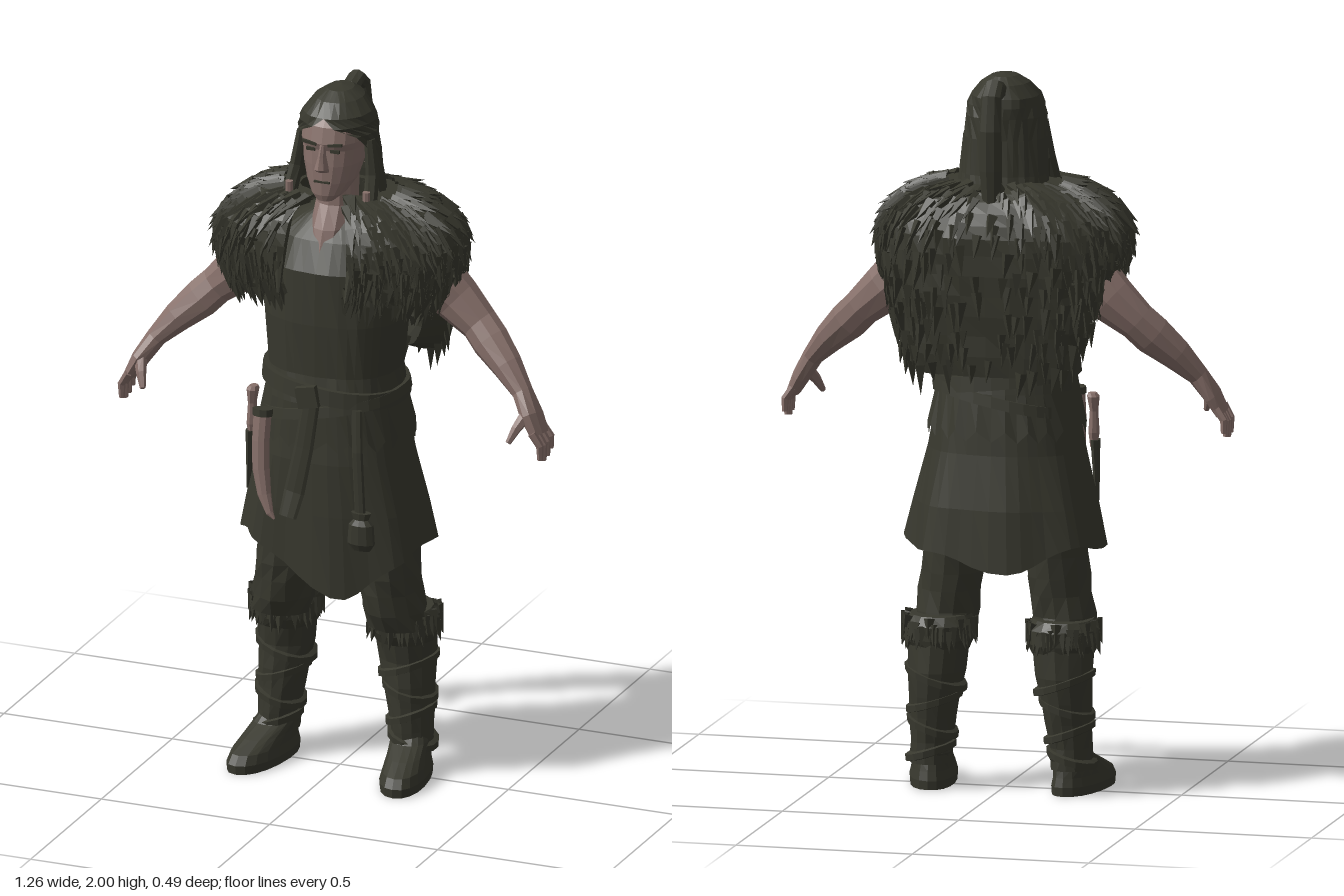
import * as THREE from 'three';
import { mergeGeometries } from 'three/addons/utils/BufferGeometryUtils.js';

const V = (x, y, z) => new THREE.Vector3(x, y, z);
const hash = (i, j) => { const s = Math.sin(i * 12.99 + j * 78.23 + 1.7) * 43758.55; return s - Math.floor(s); };
const bow = (v, e) => Math.sign(v) * Math.abs(v) ** e;
const UP = V(0, 1, 0);

// Faceted geometry: every face has its own corners
function facet(geo) {
  const g = geo.index ? geo.toNonIndexed() : geo;
  g.deleteAttribute('uv');
  g.computeVertexNormals();
  return g;
}

// Surface from a grid of points, rows running upward, columns anticlockwise
function grid(rows, cols, point) {
  const pos = [], idx = [];
  for (let i = 0; i <= rows; i++) for (let j = 0; j <= cols; j++) pos.push(...point(i, j).toArray());
  for (let i = 0; i < rows; i++) for (let j = 0; j < cols; j++) {
    const a = i * (cols + 1) + j, c = a + cols + 1;
    idx.push(a, a + 1, c, a + 1, c + 1, c);
  }
  const g = new THREE.BufferGeometry();
  g.setAttribute('position', new THREE.Float32BufferAttribute(pos, 3));
  g.setIndex(idx);
  return facet(g);
}

// Skin over rings [x, y, z, rx, rz, front opening]; follow = rings turn with the path
function loft(rings, { n = 12, e = 1, follow = false, hint = V(0, 0, 1), cap = true, rough = 0, fn } = {}) {
  const list = cap ? [[...rings[0].slice(0, 3), 0, 0], ...rings, [...rings.at(-1).slice(0, 3), 0, 0]] : rings;
  const centre = k => V(...rings[THREE.MathUtils.clamp(k, 0, rings.length - 1)]);
  return grid(list.length - 1, n, (i, j) => {
    const [x, y, z, rx, rz, open = 0] = list[i], k = cap ? i - 1 : i;
    const kc = THREE.MathUtils.clamp(k, 0, rings.length - 1);
    const T = follow ? centre(kc + 1).sub(centre(kc - 1)).normalize() : UP;
    const S = T.clone().cross(hint).normalize(), N = S.clone().cross(T);
    const a = open + (j / n) * (2 * Math.PI - 2 * open);
    const w = 1 + rough * (hash(i, j % n) - 0.5);
    const p = V(x, y, z).addScaledVector(S, rx * w * bow(Math.sin(a), e)).addScaledVector(N, rz * w * bow(Math.cos(a), e));
    if (fn) fn(p, i, j, a);
    return p;
  });
}

function flipX(geo) {
  const g = geo.clone(), p = g.attributes.position;
  for (let t = 0; t < p.count; t += 3) {
    const q = [0, 2, 1].map(k => V().fromBufferAttribute(p, t + k));
    q.forEach((v, k) => p.setXYZ(t + k, -v.x, v.y, v.z));
  }
  g.computeVertexNormals();
  return g;
}

// Fur lock: a flat pointed tuft lying along a direction
function tuft(at, dir, len, width) {
  const g = new THREE.ConeGeometry(width, len, 4, 1, true).toNonIndexed();
  g.translate(0, len * 0.35, 0);
  g.applyQuaternion(new THREE.Quaternion().setFromUnitVectors(UP, dir.clone().normalize()));
  return facet(g.translate(at.x, at.y, at.z));
}

// Mantle surface: a = angle from the front, v = 0 at the neck, 1 at the hem
function mantlePoint(a, v) {
  const c = Math.cos(a), hem = 1.42 - 0.24 * THREE.MathUtils.smoothstep(-c, 0.2, 0.9);
  const t = v < 0.5 ? v * Math.PI : (v - 0.5) * 2;
  const s = v < 0.5 ? 0.32 + 0.66 * Math.sin(t / 2 * 1) : 0.98 - 0.1 * t * t;
  const y = v < 0.5 ? 1.55 + 0.15 * Math.cos(t) : THREE.MathUtils.lerp(1.55, hem, t);
  const r = v < 0.5 ? 0.32 + 0.66 * Math.sin(t) : s;
  return V(0.35 * r * bow(Math.sin(a), 0.7), y, (c > 0 ? 0.19 : 0.23) * r * bow(c, 0.7));
}

export function createModel() {
  const root = new THREE.Group();
  root.name = 'furCloakedWarrior';
  const material = (name, color) => new THREE.MeshStandardMaterial({ name, color, side: THREE.DoubleSide });
  const dark = material('darkCloth', 0x38382e), skin = material('skin', 0x87706a);
  const add = (name, geo, mat = dark) => {
    const m = new THREE.Mesh(geo, mat);
    m.name = name;
    root.add(m);
  };
  const pair = (name, geo, mat) => { add(name + 'Left', geo, mat); add(name + 'Right', flipX(geo), mat); };
  const box = (w, h, d, x, y, z, rz = 0) => facet(new THREE.BoxGeometry(w, h, d).rotateZ(rz).translate(x, y, z));

  // Head, neck and face
  add('head', loft([[0, 1.697, 0.1, 0.025, 0.025], [0, 1.715, 0.075, 0.047, 0.056], [0, 1.75, 0.048, 0.068, 0.083],
    [0, 1.8, 0.036, 0.082, 0.093], [0, 1.845, 0.03, 0.087, 0.095], [0, 1.865, 0.03, 0.09, 0.102],
    [0, 1.91, 0.02, 0.088, 0.1], [0, 1.95, 0.01, 0.07, 0.08]], { n: 18, e: 0.9 }), skin);
  add('neck', loft([[0, 1.55, 0.06, 0.05, 0.09], [0, 1.61, 0.035, 0.062, 0.09], [0, 1.67, 0.02, 0.058, 0.065],
    [0, 1.76, 0.015, 0.06, 0.06]]), skin);
  add('nose', loft([[0, 1.785, 0.125, 0.02, 0.015], [0, 1.797, 0.13, 0.02, 0.03], [0, 1.83, 0.125, 0.011, 0.022],
    [0, 1.865, 0.122, 0.008, 0.01]], { n: 8 }), skin);
  pair('eye', box(0.026, 0.009, 0.008, 0.036, 1.846, 0.122));
  pair('eyebrow', box(0.042, 0.008, 0.008, 0.038, 1.866, 0.128, 0.15));
  add('mouth', box(0.046, 0.005, 0.008, 0, 1.755, 0.13));
  pair('ear', loft([[0.09, 1.79, 0.02, 0.008, 0.012], [0.098, 1.83, 0.015, 0.01, 0.022], [0.094, 1.86, 0.015, 0.008, 0.014]], { n: 8 }), skin);

  // Swept-back hair, face locks with beads, and the high ponytail
  add('hair', loft([[0, 1.62, -0.03, 0.135, 0.085, 1.25], [0, 1.72, -0.012, 0.124, 0.09, 1.3], [0, 1.82, 0, 0.115, 0.1, 1.25],
    [0, 1.88, 0.01, 0.112, 0.11, 0.85], [0, 1.91, 0.013, 0.106, 0.113, 0.3], [0, 1.935, 0.01, 0.096, 0.108],
    [0, 1.97, 0, 0.066, 0.08], [0, 1.99, -0.005, 0.036, 0.045], [0, 1.997, -0.01, 0, 0]], { n: 28, cap: false, rough: 0.06 }));
  add('ponytail', loft([[0, 1.92, -0.06, 0.03, 0.03], [0, 1.965, -0.085, 0.025, 0.025], [0, 1.975, -0.115, 0.024, 0.026],
    [0, 1.95, -0.145, 0.025, 0.028], [0, 1.86, -0.16, 0.027, 0.032], [0, 1.75, -0.155, 0.028, 0.032],
    [0, 1.66, -0.15, 0.024, 0.026], [0, 1.58, -0.17, 0.008, 0.008]], { n: 9, follow: true, hint: V(1, 0, 0), rough: 0.12 }));
  pair('faceLock', loft([[0.1, 1.86, 0.03, 0.015, 0.018], [0.112, 1.76, 0.04, 0.02, 0.022], [0.12, 1.68, 0.08, 0.022, 0.022],
    [0.112, 1.57, 0.16, 0.022, 0.018], [0.1, 1.44, 0.2, 0.005, 0.005]], { n: 7, follow: true, rough: 0.2 }));
  pair('hairBead', facet(new THREE.CylinderGeometry(0.011, 0.011, 0.035, 8).translate(0.115, 1.71, 0.088)), skin);

  // Tunic with a notched hem, and the flared skirt beneath
  add('tunic', loft([[0, 1, 0.02, 0.217, 0.178], [0, 1.12, 0.025, 0.195, 0.168], [0, 1.2, 0.025, 0.185, 0.155],
    [0, 1.35, 0.02, 0.198, 0.163], [0, 1.5, 0.005, 0.2, 0.17], [0, 1.58, -0.01, 0.175, 0.145], [0, 1.63, -0.01, 0.1, 0.09],
    [0, 1.65, 0, 0.06, 0.06]], {
    n: 44, e: 0.85, cap: false, rough: 0.025,
    fn: (p, i, j) => { if (!i) p.y += j % 2 ? 0.018 : -0.012; },
  }));
  add('skirt', loft([[0, 0.69, 0.005, 0.272, 0.19], [0, 0.8, 0.01, 0.25, 0.185], [0, 0.95, 0.02, 0.215, 0.173], [0, 1.04, 0.02, 0.2, 0.165]], {
    n: 44, e: 0.85, cap: false,
    fn: (p, i, j, a) => {
      const fold = 1 + [0.035, 0.025, 0.01, 0][i] * Math.sin(a * 8 + 0.5);
      p.x *= fold; p.z *= fold;
      const b = a > 5 ? a - 2 * Math.PI : a;
      if (!i) p.y += 0.012 * Math.sin(a * 5) - 0.14 * Math.exp(-(((b - 0.25) / 0.45) ** 2)) - 0.06 * Math.exp(-(((a - Math.PI) / 0.5) ** 2));
    },
  }));

  // Belts, hanging sash and pouch
  const belt = (y, h, grow, tilt) => loft([[0, y - h, 0.025, 0.19, 0.16], [0, y - h, 0.025, 0.197 + grow, 0.172 + grow],
    [0, y + h, 0.025, 0.193 + grow, 0.168 + grow], [0, y + h, 0.025, 0.185, 0.15]], { n: 32, e: 0.85, cap: false, fn: p => { p.y += p.x * tilt; } });
  add('belt', belt(1.155, 0.022, 0.006, -0.12));
  add('lowBelt', belt(1.1, 0.015, 0.008, 0.2));
  add('buckle', box(0.06, 0.06, 0.02, -0.01, 1.15, 0.208, 0.2));
  add('sash', loft([[0.0, 1.14, 0.205, 0.026, 0.008], [-0.02, 1, 0.21, 0.028, 0.007], [-0.045, 0.87, 0.218, 0.03, 0.007],
    [-0.058, 0.8, 0.234, 0.026, 0.006]], { n: 8, follow: true }));
  add('pouchStrap', loft([[0.125, 1.12, 0.18, 0.016, 0.007], [0.13, 1, 0.188, 0.016, 0.007], [0.138, 0.8, 0.185, 0.016, 0.007]], { n: 8, follow: true }));
  add('pouch', loft([[0.14, 0.715, 0.185, 0.028, 0.012], [0.14, 0.735, 0.185, 0.04, 0.022], [0.14, 0.79, 0.185, 0.036, 0.022],
    [0.14, 0.805, 0.185, 0.022, 0.014], [0.14, 0.825, 0.185, 0.03, 0.016]], { n: 10 }));

  // Horn and knife on the right hip
  add('horn', loft([[-0.15, 1.085, 0.19, 0.026, 0.02], [-0.152, 1, 0.2, 0.025, 0.021], [-0.148, 0.92, 0.208, 0.025, 0.02],
    [-0.135, 0.85, 0.216, 0.02, 0.016], [-0.115, 0.8, 0.225, 0.011, 0.01], [-0.1, 0.785, 0.228, 0.003, 0.003]], { n: 9, follow: true }), skin);
  add('hornBand', loft([[-0.15, 1.09, 0.19, 0.029, 0.023], [-0.15, 1.07, 0.192, 0.029, 0.023]], { n: 9, follow: true }));
  add('knifeHandle', loft([[-0.235, 0.95, 0.06, 0.01, 0.014], [-0.236, 0.99, 0.06, 0.016, 0.02], [-0.236, 1.05, 0.06, 0.012, 0.016],
    [-0.234, 1.09, 0.06, 0.018, 0.022], [-0.232, 1.1, 0.06, 0.012, 0.015]], { n: 8 }), skin);
  add('knifeSheath', loft([[-0.245, 0.8, 0.06, 0.006, 0.012], [-0.24, 0.97, 0.06, 0.014, 0.022]], { n: 8 }));

  // Bare arms and hands
  pair('arm', loft([[0.17, 1.56, -0.05, 0.07, 0.07], [0.245, 1.46, -0.06, 0.082, 0.075], [0.32, 1.39, -0.068, 0.07, 0.06],
    [0.39, 1.33, -0.06, 0.055, 0.05], [0.43, 1.29, -0.045, 0.056, 0.05], [0.49, 1.235, -0.02, 0.044, 0.044],
    [0.545, 1.175, 0.005, 0.029, 0.034], [0.58, 1.12, 0.025, 0.025, 0.05], [0.607, 1.07, 0.033, 0.018, 0.046]],
  { n: 10, follow: true }), skin);
  const hand = [0, 1, 2, 3].map(k => {
    const z = -0.004 + 0.025 * k, reach = [0.018, 0.005, 0, 0.008][k];
    return loft([[0.6, 1.085, z, 0.012, 0.013], [0.622, 1.045 + reach / 2, z - 0.004, 0.011, 0.011],
      [0.622, 1.0 + reach, z - 0.006, 0.008, 0.008]], { n: 6, follow: true });
  });
  hand.push(loft([[0.575, 1.13, 0.045, 0.02, 0.018], [0.557, 1.095, 0.083, 0.014, 0.014], [0.543, 1.06, 0.105, 0.008, 0.008]], { n: 6, follow: true }));
  pair('fingers', mergeGeometries(hand), skin);

  // Trousers, wrapped boots and shoes
  pair('trouser', loft([[0.17, 0.44, -0.005, 0.085, 0.09], [0.165, 0.49, 0.005, 0.088, 0.095], [0.158, 0.55, 0.01, 0.085, 0.1],
    [0.15, 0.6, 0.01, 0.09, 0.1], [0.145, 0.66, 0.01, 0.086, 0.105], [0.125, 0.82, 0, 0.1, 0.11]], { n: 14, rough: 0.12 }));
  pair('boot', loft([[0.2, 0.07, -0.04, 0.058, 0.072], [0.197, 0.13, -0.04, 0.058, 0.072], [0.192, 0.2, -0.045, 0.065, 0.076],
    [0.187, 0.26, -0.05, 0.072, 0.08], [0.18, 0.33, -0.055, 0.08, 0.085], [0.175, 0.42, -0.045, 0.086, 0.09]], { n: 14, rough: 0.08 }));
  const straps = [[0.1, 0.2, 0.064, 0.078, -0.04], [0.17, 0.194, 0.065, 0.078, -0.043], [0.24, 0.188, 0.072, 0.081, -0.048], [0.31, 0.182, 0.08, 0.086, -0.053]]
    .map(([y, x, rx, rz, z], k) => loft([[x, y - 0.013, z, rx - 0.01, rz - 0.01], [x, y - 0.009, z, rx + 0.005, rz + 0.005],
      [x, y + 0.009, z, rx + 0.006, rz + 0.006], [x, y + 0.014, z, rx - 0.01, rz - 0.01]],
    { n: 14, cap: false, fn: p => { p.y += (p.x - x) * (k % 2 ? 0.35 : -0.3); } }));
  pair('bootStraps', mergeGeometries(straps));
  pair('shoe', loft([[0.207, 0, 0.038, 0.064, 0.148], [0.207, 0.025, 0.038, 0.066, 0.15], [0.207, 0.05, 0.032, 0.06, 0.138],
    [0.205, 0.075, 0.005, 0.056, 0.105], [0.202, 0.1, -0.03, 0.056, 0.075], [0.2, 0.12, -0.04, 0.05, 0.062]],
  { n: 18, e: 0.9, fn: p => { p.x += p.z * 0.14; } }));

  // Fur cuffs below the knees
  const cuff = [loft([[0.175, 0.39, -0.04, 0.085, 0.09], [0.176, 0.42, -0.04, 0.1, 0.104], [0.176, 0.46, -0.038, 0.1, 0.106],
    [0.174, 0.485, -0.03, 0.085, 0.092]], { n: 16, rough: 0.08 })];
  for (let k = 0; k < 44; k++) {
    const a = k * 2.4, h = hash(k, 5), s = V(Math.sin(a), 0, Math.cos(a));
    cuff.push(tuft(V(0.176 + 0.093 * s.x, 0.43 + 0.05 * h, -0.038 + 0.098 * s.z), s.clone().multiplyScalar(0.25).setY(-1), 0.06, 0.016));
  }
  pair('furCuff', mergeGeometries(cuff));

  // Fur mantle over the shoulders, long at the back, open at the throat
  const gap = 0.16, span = 2 * Math.PI - 2 * gap, rows = 14;
  const fur = [grid(rows, 56, (i, j) => {
    const a = gap + span * j / 56;
    if (!i) return mantlePoint(a, 0.97).multiply(V(0.75, 1, 0.75));
    const p = mantlePoint(a, 1 - (i - 1) / (rows - 1)), w = 1 + 0.04 * (hash(i, j) - 0.5);
    return p.multiply(V(w, 1, w));
  })];
  for (let r = 0; r < 13; r++) for (let k = 0; k < 54; k++) {
    const a = gap + span * (k + hash(r, k) * 0.9) / 54, v = 0.08 + 0.072 * r + 0.05 * hash(k, r + 40);
    const p = mantlePoint(a, v), down = mantlePoint(a, v + 0.02).sub(p).normalize();
    const out = mantlePoint(a + 0.02, v).sub(p).cross(down).normalize().negate();
    const lean = out.multiplyScalar(0.12 + 0.12 * hash(k, r + 9)).add(down);
    lean.x += 0.3 * (hash(r + 3, k) - 0.5);
    fur.push(tuft(p, lean, 0.055 + 0.035 * hash(r, k + 70), 0.013 + 0.007 * hash(r + 8, k)));
  }
  add('furMantle', mergeGeometries(fur));
  return root;
}
